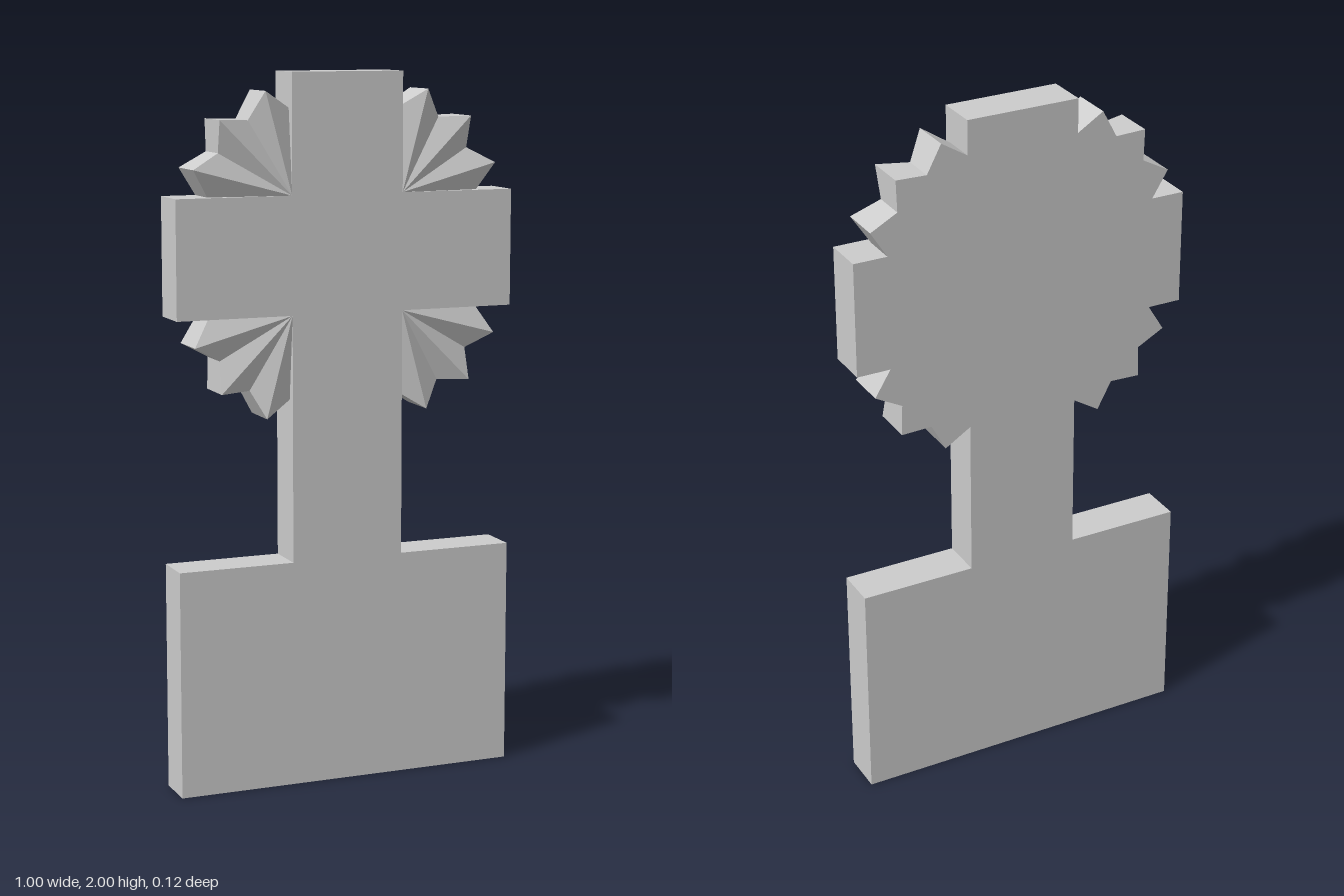
import * as THREE from 'three';

const HALF_DEPTH = 0.0615;   // half thickness of the slab
const VALLEY_Z = 0.037;      // depth of the pleat valleys
const STEM = 0.164, ARM = 0.498;
const BASE_TOP = 0.644, ARM_BOTTOM = 1.338, ARM_TOP = 1.667, TOP = 2;

// Quarter fan of pleats: ridges end in tips, valleys are folded back
function pleatedFan(cx, cy, sx, sy) {
  const rim = [];
  for (let i = 0; i <= 6; i++) {
    const tip = i % 2 === 1;
    const angle = (i * Math.PI) / 12;
    const radius = tip ? 0.293 : 0.236;
    rim.push([cx + sx * radius * Math.cos(angle), cy + sy * radius * Math.sin(angle), tip ? HALF_DEPTH : VALLEY_Z]);
  }
  const back = (p) => [p[0], p[1], -HALF_DEPTH];
  const hub = [cx, cy, HALF_DEPTH];
  const positions = [];
  // Mirrored fans reverse their corner order
  const tri = (a, b, c) => positions.push(...a, ...(sx * sy > 0 ? [...b, ...c] : [...c, ...b]));
  for (let i = 0; i < 6; i++) {
    const a = rim[i], b = rim[i + 1];
    tri(hub, a, b);              // pleat face
    tri(back(hub), back(b), back(a)); // flat back
    tri(a, back(a), back(b));    // outer edge
    tri(a, back(b), b);
  }
  const geometry = new THREE.BufferGeometry();
  geometry.setAttribute('position', new THREE.Float32BufferAttribute(positions, 3));
  geometry.computeVertexNormals();
  return geometry;
}

export function createModel() {
  const group = new THREE.Group();
  group.name = 'crossMonument';
  const stone = new THREE.MeshStandardMaterial({ color: 0xcccccc });
  stone.name = 'light grey stone';

  // Base, stem and arms as one slab
  const half = [
    [ARM, 0], [ARM, BASE_TOP], [STEM, BASE_TOP], [STEM, ARM_BOTTOM],
    [ARM, ARM_BOTTOM], [ARM, ARM_TOP], [STEM, ARM_TOP], [STEM, TOP],
  ];
  const mirrored = half.map(([x, y]) => [-x, y]).reverse();
  const outline = new THREE.Shape([...half, ...mirrored].map(([x, y]) => new THREE.Vector2(x, y)));
  const slab = new THREE.ExtrudeGeometry(outline, { depth: 2 * HALF_DEPTH, bevelEnabled: false });
  slab.translate(0, 0, -HALF_DEPTH);
  const cross = new THREE.Mesh(slab, stone);
  cross.name = 'crossWithBase';
  group.add(cross);

  // Pleated fans in the four corners of the cross
  for (const sx of [1, -1]) {
    for (const sy of [1, -1]) {
      const fan = new THREE.Mesh(pleatedFan(sx * STEM, sy > 0 ? ARM_TOP : ARM_BOTTOM, sx, sy), stone);
      fan.name = (sy > 0 ? 'upper' : 'lower') + (sx > 0 ? 'Left' : 'Right') + 'Fan';
      group.add(fan);
    }
  }
  return group;
}
